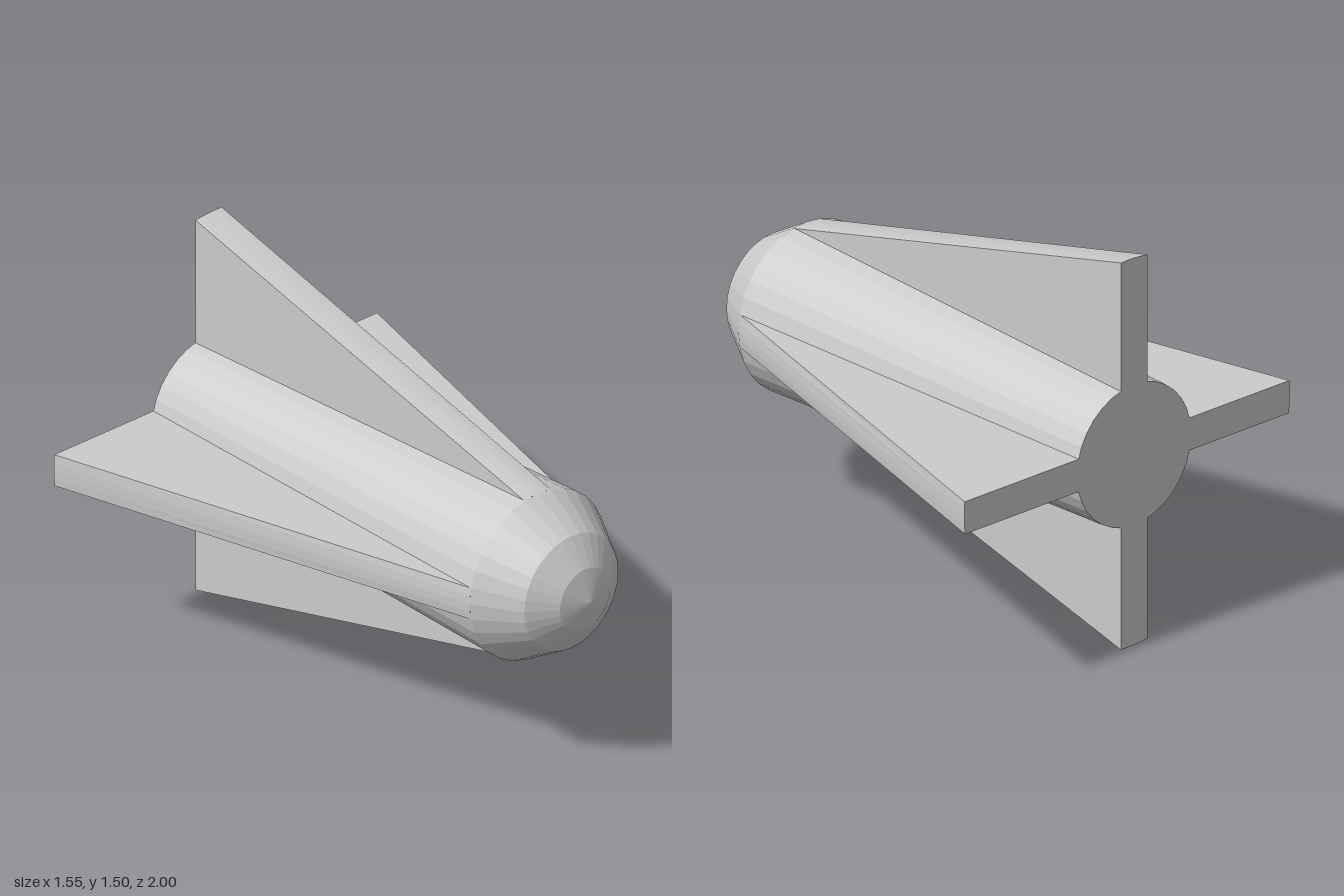
import * as THREE from 'three';

const CX = -0.034, CY = 0.737; // body axis
const HALF = 0.063;            // half fin thickness
const REAR = -1, SHOULDER = 0.72;

export function createModel() {
  const group = new THREE.Group();
  const material = new THREE.MeshStandardMaterial({ color: 0xcccccc, flatShading: true });

  const lathe = (name, profile) => {
    const geo = new THREE.LatheGeometry(profile.map(([r, z]) => new THREE.Vector2(r, z)), 32);
    geo.rotateX(Math.PI / 2);
    const mesh = new THREE.Mesh(geo, material);
    mesh.name = name;
    mesh.position.set(CX, CY, 0);
    group.add(mesh);
  };

  // Tapered body with a closed flat tail, and a faceted round nose
  lathe('body', [[0, REAR], [0.272, REAR], [0.326, SHOULDER]]);
  lathe('nose', [[0.326, SHOULDER], [0.225, 0.895], [0.12, 0.967], [0, 1]]);

  // Fin: a box whose outer side slopes from the shoulder to a slightly rounded tip
  const addFin = (name, angle, reach, offset) => {
    const geo = new THREE.BoxGeometry(2 * HALF, 1, SHOULDER - REAR, 4, 1, 1);
    const p = geo.attributes.position;
    for (let i = 0; i < p.count; i++) {
      const x = p.getX(i), front = p.getZ(i) > 0;
      const outer = front
        ? Math.sqrt(0.325 ** 2 - x * x)
        : reach - (x + offset) ** 2 / 1.5;
      p.setY(i, p.getY(i) > 0 ? outer : 0.255);
      p.setZ(i, front ? SHOULDER : REAR);
    }
    geo.computeVertexNormals();
    const mesh = new THREE.Mesh(geo, material);
    mesh.name = name;
    mesh.rotation.z = angle;
    mesh.position.set(CX, CY, 0);
    group.add(mesh);
  };
  addFin('topFin', 0, 0.763, -0.034);
  addFin('bottomFin', Math.PI, 0.737, 0.034);
  addFin('leftFin', -Math.PI / 2, 0.809, 0.013);
  addFin('rightFin', Math.PI / 2, 0.741, -0.013);

  return group;
}
